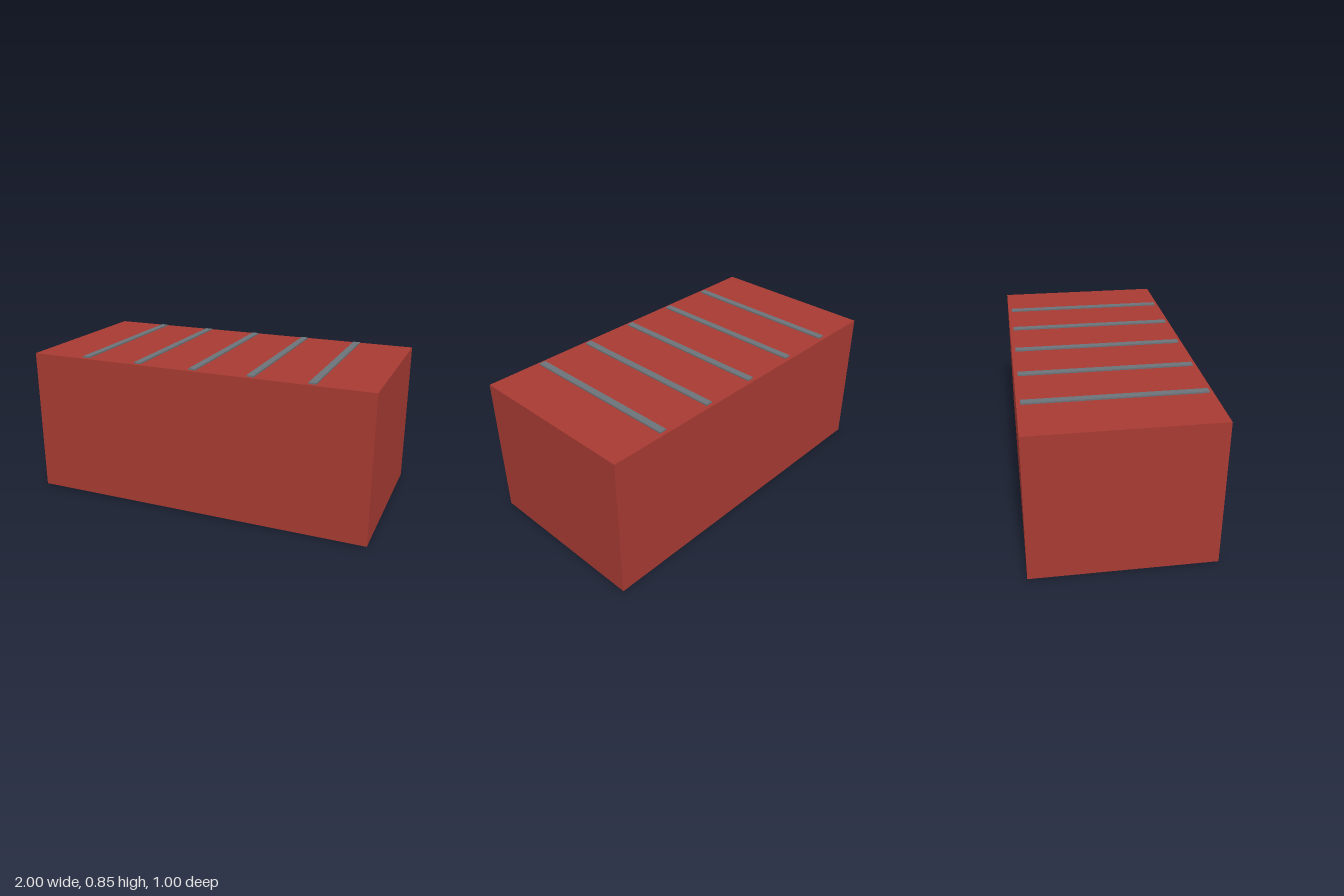
import * as THREE from 'three';

const HEIGHT = 0.833, RAISE = 0.0083, RIB_COUNT = 5, RIB_SPACING = 1 / 3;

export function createModel() {
  const model = new THREE.Group();
  model.name = 'ribbedContainer';
  const red = new THREE.MeshStandardMaterial({ color: 0xa63a32 });
  const steel = new THREE.MeshStandardMaterial({ color: 0x6b7378 });

  // Main box, lifted slightly by the ribs under it
  const body = new THREE.Mesh(new THREE.BoxGeometry(2, HEIGHT, 1), red);
  body.name = 'body';
  body.position.y = RAISE + HEIGHT / 2;
  model.add(body);

  // Crosswise ribs, half sunk into the roof and the floor
  const ribGeometry = new THREE.BoxGeometry(0.04, RAISE * 2, 0.957);
  for (const [name, y] of [['roofRib', RAISE + HEIGHT], ['floorRib', RAISE]]) {
    for (let i = 0; i < RIB_COUNT; i++) {
      const rib = new THREE.Mesh(ribGeometry, steel);
      rib.name = name + (i + 1);
      rib.position.set((i - (RIB_COUNT - 1) / 2) * RIB_SPACING, y, 0);
      model.add(rib);
    }
  }
  return model;
}
